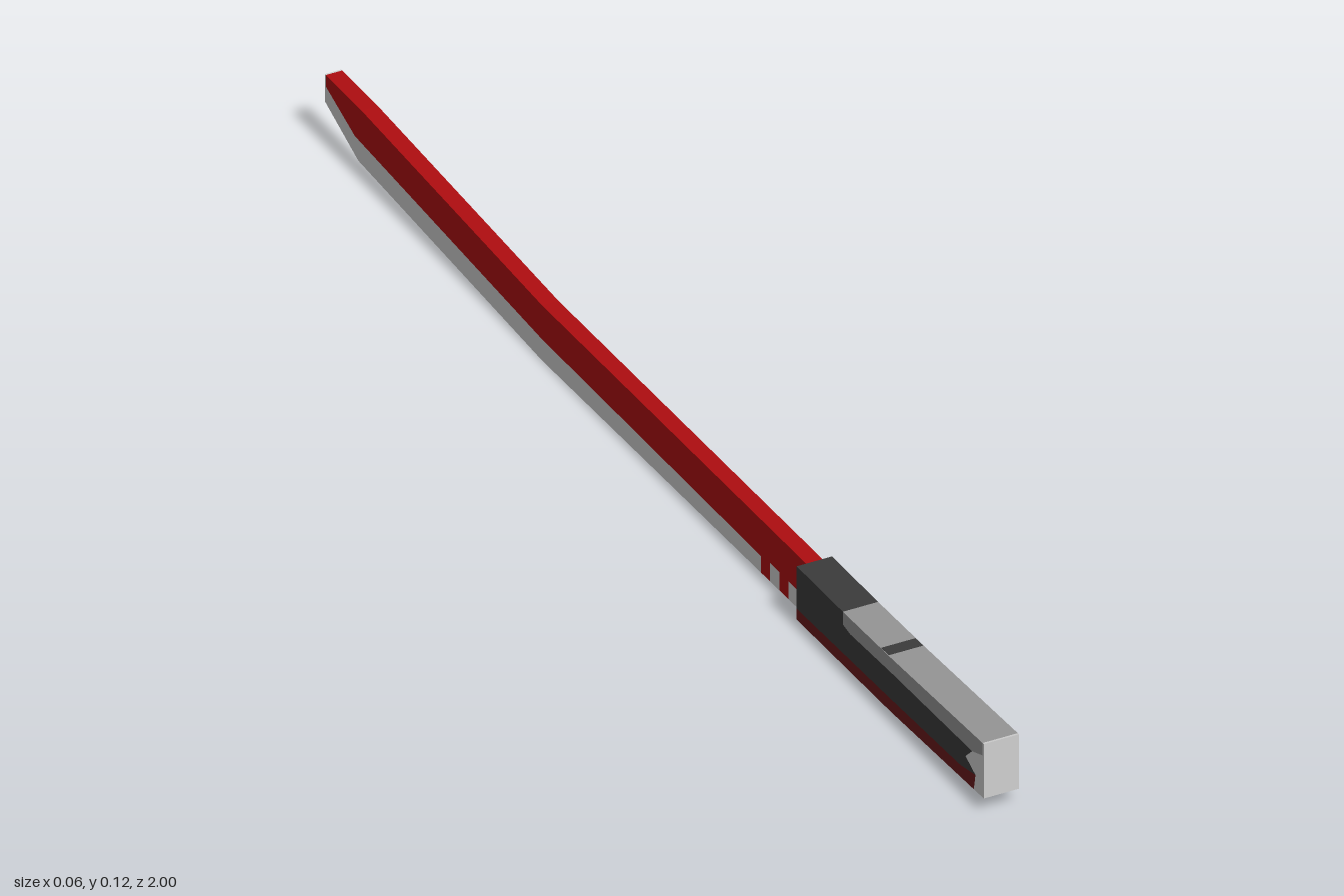
import * as THREE from 'three';

function material(name, color) {
  const m = new THREE.MeshStandardMaterial({ color });
  m.name = name;
  return m;
}

export function createModel() {
  const red = material('blade red', 0xae0d10);
  const silver = material('silver', 0xd0d0d0);
  const dark = material('charcoal', 0x3b3b3b);
  const grey = material('mid grey', 0x969696);
  const darkRed = material('dark red', 0x6a1a1c);

  const model = new THREE.Group();
  model.name = 'sword';
  const blade = new THREE.Group();
  blade.name = 'blade';
  const handle = new THREE.Group();
  handle.name = 'handle';
  model.add(blade, handle);

  // Side profile of [z, y] points, extruded across x
  function slab(parent, name, mat, halfWidth, points) {
    const shape = new THREE.Shape(points.map(([z, y]) => new THREE.Vector2(z, y)));
    const geo = new THREE.ExtrudeGeometry(shape, { depth: halfWidth * 2, bevelEnabled: false });
    geo.translate(0, 0, -halfWidth);
    geo.rotateY(-Math.PI / 2);
    const mesh = new THREE.Mesh(geo, mat);
    mesh.name = name;
    parent.add(mesh);
  }

  // Blade: a red body over a silver cutting edge
  const B = 0.013;
  const bottom = (z) => 0.013 * (z + 0.35) / 0.79;
  const teeth = [[0.387, 0.415], [0.332, 0.36]];
  const notches = teeth.flatMap(([a, b]) => [
    [b, bottom(b)], [b, 0.042], [a, 0.042], [a, bottom(a)],
  ]);
  slab(blade, 'bladeBody', red, B, [
    [0.44, 0.1], [0.44, bottom(0.44)], ...notches,
    [0.305, bottom(0.305)], [0.305, 0.038], [-0.35, 0.035], [-0.91, 0.062],
    [-0.997, 0.096], [-0.997, 0.115], [-0.89, 0.115], [-0.35, 0.091],
  ]);
  slab(blade, 'cuttingEdge', silver, B, [
    [0.305, 0.038], [0.305, bottom(0.305)], [-0.35, 0], [-0.9, 0.027],
    [-1, 0.07], [-1, 0.115], [-0.997, 0.115], [-0.997, 0.096],
    [-0.91, 0.062], [-0.35, 0.035],
  ]);
  for (const [a, b] of teeth) {
    slab(blade, 'edgeTooth', silver, B, [[a, 0.042], [a, bottom(a)], [b, bottom(b)], [b, 0.042]]);
  }

  // Handle: charcoal grip, grey spine, dark red underside, silver pommel
  const H = 0.028;
  slab(handle, 'grip', dark, H, [
    [0.44, 0.1], [0.44, 0.03], [0.72, 0.036], [0.93, 0.042], [0.975, 0.05],
    [0.945, 0.065], [0.965, 0.084], [0.72, 0.08], [0.6, 0.076], [0.578, 0.08], [0.578, 0.101],
  ]);
  slab(handle, 'spine', grey, H, [
    [0.578, 0.101], [0.578, 0.08], [0.6, 0.076], [0.72, 0.08], [0.965, 0.084],
    [0.996, 0.094], [0.996, 0.1146], [0.72, 0.104],
  ]);
  slab(handle, 'underside', darkRed, H, [
    [0.44, 0.03], [0.44, 0.012], [0.72, 0.015], [0.97, 0.0239],
    [0.975, 0.05], [0.93, 0.042], [0.72, 0.036],
  ]);
  slab(handle, 'pommel', silver, H, [
    [0.97, 0.0239], [1, 0.025], [1, 0.115], [0.996, 0.1146], [0.996, 0.094],
    [0.965, 0.084], [0.945, 0.065], [0.975, 0.05],
  ]);

  // Dark band across the spine
  slab(handle, 'spineBand', dark, H - 0.001, [
    [0.692, 0.102], [0.714, 0.102], [0.714, 0.1046], [0.692, 0.1042],
  ]);

  return model;
}
